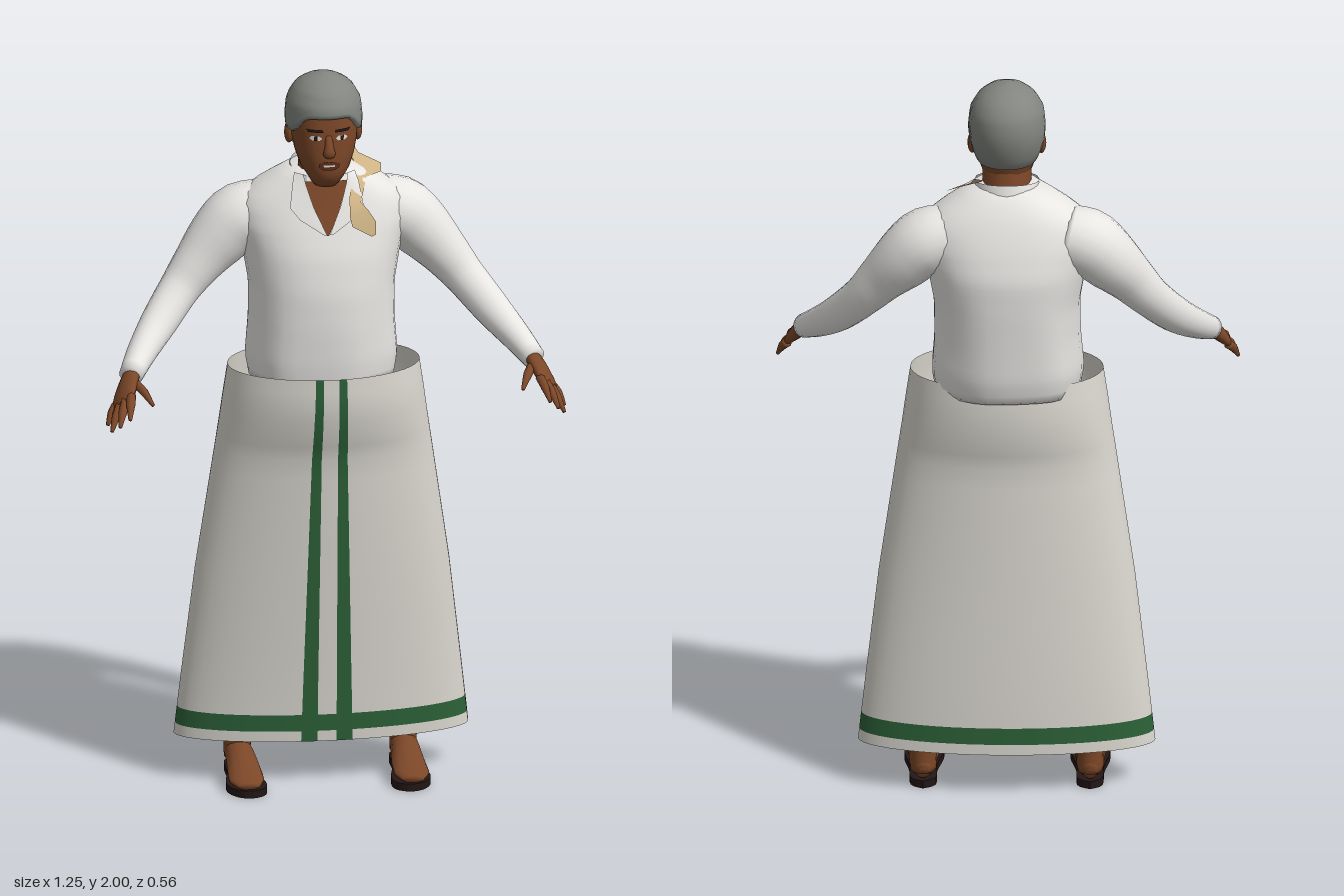
import * as THREE from 'three';

const V = (x, y, z) => new THREE.Vector3(x, y, z);
const mat = (name, color, side = THREE.FrontSide) => {
  const m = new THREE.MeshStandardMaterial({ color, side });
  m.name = name;
  return m;
};

// Interpolates rows of [y, halfWidth, zFront, zBack], listed from low to high
function at(profile, y) {
  let i = 0;
  while (i < profile.length - 2 && y > profile[i + 1][0]) i++;
  const a = profile[i], b = profile[i + 1];
  const t = THREE.MathUtils.clamp((y - a[0]) / (b[0] - a[0]), 0, 1);
  return a.map((v, k) => v + (b[k] - v) * t);
}

// Point on a profile at height y and angle a (0 = front), n = squareness
function point(profile, y, a, n = 2) {
  const [, rx, zf, zb] = at(profile, y);
  const p = (v) => Math.sign(v) * Math.abs(v) ** (2 / n);
  return V(rx * p(Math.sin(a)), y, (zf + zb) / 2 + ((zf - zb) / 2) * p(Math.cos(a)));
}

// Depth of the front surface of a profile at x, y
function frontZ(profile, x, y, n) {
  const [, rx, zf, zb] = at(profile, y);
  const k = Math.max(0, 1 - Math.abs(x / rx) ** n) ** (1 / n);
  return (zf + zb) / 2 + ((zf - zb) / 2) * k;
}

// Surface through a grid of points; closed joins each row into a ring
function surface(rows, closed, capStart, capEnd) {
  const pos = [], idx = [], n = rows[0].length;
  rows.forEach((r) => r.forEach((p) => pos.push(p.x, p.y, p.z)));
  for (let j = 0; j < rows.length - 1; j++)
    for (let i = 0; i < (closed ? n : n - 1); i++) {
      const k = (i + 1) % n, a = j * n + i, b = j * n + k;
      idx.push(a, b, a + n, b, b + n, a + n);
    }
  const cap = (j, flip) => {
    const c = rows[j].reduce((s, p) => s.add(p), V(0, 0, 0)).divideScalar(n);
    const ci = pos.length / 3;
    pos.push(c.x, c.y, c.z);
    for (let i = 0; i < n; i++) {
      const a = j * n + i, b = j * n + ((i + 1) % n);
      idx.push(ci, flip ? b : a, flip ? a : b);
    }
  };
  if (capStart) cap(0, true);
  if (capEnd) cap(rows.length - 1, false);
  const g = new THREE.BufferGeometry();
  g.setAttribute('position', new THREE.Float32BufferAttribute(pos, 3));
  g.setIndex(idx);
  g.computeVertexNormals();
  return g;
}

const angles = (n) => Array.from({ length: n }, (_, i) => (i / n) * Math.PI * 2);
const body = (profile, steps, n, warp = (p) => p) => {
  const y0 = profile[0][0], y1 = profile.at(-1)[0];
  return surface(Array.from({ length: steps + 1 }, (_, j) =>
    angles(32).map((a) => warp(point(profile, y0 + ((y1 - y0) * j) / steps, a, n), a))), true, true, true);
};

// Limb along points [x, y, z, radiusU, radiusV]; V lies along ref
function limb(pts, s, ref = V(0, 0, 1), steps = 16, sides = 14) {
  const curve = new THREE.CatmullRomCurve3(pts.map((p) => V(p[0] * s, p[1], p[2])));
  const axis = V(ref.x * s, ref.y, ref.z), rings = [];
  for (let j = 0; j <= steps; j++) {
    const t = j / steps, f = t * (pts.length - 1), i = Math.min(Math.floor(f), pts.length - 2);
    const r = [3, 4].map((k) => THREE.MathUtils.lerp(pts[i][k], pts[i + 1][k], f - i));
    const c = curve.getPoint(t), T = curve.getTangent(t);
    const u = T.clone().cross(axis).normalize(), v = T.clone().cross(u);
    rings.push(angles(sides).map((a) =>
      c.clone().addScaledVector(u, Math.cos(a) * r[0]).addScaledVector(v, Math.sin(a) * r[1])));
  }
  return surface(rings, true, true, true);
}

// Thin patch lying on a profile's front; rows of [y, x0, x1] from low to high
const drape = (profile, n, rows, off, s = 1) => surface(rows.map(([y, a, b]) => {
  const [x0, x1] = s > 0 ? [a, b] : [-b, -a];
  return [0, 1, 2, 3, 4].map((i) => {
    const x = x0 + ((x1 - x0) * i) / 4;
    return V(x, y, frontZ(profile, x, y, n) + off);
  });
}), false);

const TORSO = [[1.14, .195, .055, -.245], [1.2, .205, .062, -.262], [1.3, .197, .066, -.27], [1.4, .197, .064, -.278],
  [1.5, .215, .048, -.282], [1.58, .235, .022, -.262], [1.64, .225, .0, -.24], [1.69, .16, -.015, -.215], [1.73, .085, -.025, -.18]];
const HEAD = [[1.70, .035, .02, -.1], [1.725, .05, .045, -.12], [1.75, .066, .053, -.135], [1.79, .08, .054, -.15],
  [1.83, .088, .052, -.16], [1.87, .091, .05, -.165], [1.92, .085, .045, -.16], [1.96, .06, .02, -.13]];
const HAIR = [[1.78, .082, .05, -.15], [1.83, .1, .058, -.175], [1.88, .105, .062, -.186], [1.93, .1, .058, -.182],
  [1.965, .08, .036, -.158], [1.985, .055, .008, -.125], [1.996, .028, -.025, -.092], [2, .004, -.054, -.062]];
const SKIRT = [[.12, .4, .012, -.237], [.3, .38, .022, -.235], [.6, .345, .045, -.225], [.94, .295, .07, -.215],
  [1.02, .283, .095, -.232], [1.1, .272, .11, -.238], [1.18, .26, .108, -.232]];

export function createModel() {
  const model = new THREE.Group();
  const shirt = mat('white shirt', 0xecebe8, THREE.DoubleSide);
  const cloth = mat('cream cloth', 0xdad7cf, THREE.DoubleSide);
  const green = mat('green border', 0x2c6138, THREE.DoubleSide);
  const skin = mat('brown skin', 0x7c4728);
  const hair = mat('grey hair', 0x838680, THREE.DoubleSide);
  const tan = mat('tan scarf', 0xcdb284, THREE.DoubleSide);
  const dark = mat('dark sole', 0x231616);
  const white = mat('eye white', 0xe0dcd4);
  const lip = mat('lips', 0x5e2f20);
  const add = (name, geo, m) => {
    const mesh = new THREE.Mesh(geo, m);
    mesh.name = name;
    model.add(mesh);
    return mesh;
  };

  // Wrapped skirt: columns follow the two stripes, rows follow the hem band
  const ys = [.12, .15, .197, .3, .45, .6, .75, .88, .94, .98, 1.02, 1.06, 1.1, 1.14, 1.18];
  const rest = Array.from({ length: 45 }, (_, i) => .28 + ((Math.PI * 2 - .56) * i) / 44);
  const skirt = surface(ys.map((y) => {
    const rx = at(SKIRT, y)[1], t = (1.18 - y) / 1.06;
    const o = Math.asin((.042 + .028 * t) / rx), i = Math.asin((.021 + .005 * t) / rx);
    return [-o, -i, 0, i, o, ...rest].map((a) => point(SKIRT, y, a));
  }), true);
  const all = [...skirt.index.array], plain = [], border = [], cols = 50;
  for (let q = 0; q < all.length / 6; q++) {
    const row = Math.floor(q / cols), col = q % cols;
    (row === 1 || col === 0 || col === 3 ? border : plain).push(...all.slice(q * 6, q * 6 + 6));
  }
  skirt.setIndex([...plain, ...border]);
  skirt.addGroup(0, plain.length, 0);
  skirt.addGroup(plain.length, border.length, 1);
  add('wrappedSkirt', skirt, [cloth, green]);

  // Shirt body with soft folds near the hem
  add('shirtBody', body(TORSO, 24, 2.3, (p, a) => {
    const k = 1 + .018 * Math.sin(a * 7) * THREE.MathUtils.smoothstep(1.5 - p.y, 0, .3);
    return V(p.x * k, p.y, (p.z + .1) * k - .1);
  }), shirt);
  add('openNeck', drape(TORSO, 2.3, [[1.565, -.002, .002], [1.61, -.026, .026], [1.66, -.044, .044], [1.705, -.06, .06]], .007), skin);

  // Standing collar, open at the front
  const collarRow = (r, y0, y1) => Array.from({ length: 21 }, (_, i) => {
    const a = .6 + ((Math.PI * 2 - 1.2) * i) / 20, back = (1 - Math.cos(a)) / 2;
    return V(Math.sin(a) * r, y0 + (y1 - y0) * back, -.095 + Math.cos(a) * r);
  });
  add('collar', surface([collarRow(.1, 1.67, 1.69), collarRow(.086, 1.715, 1.75)], false), shirt);

  // Neck and head
  add('neck', limb([[0, 1.6, -.1, .075, .075], [0, 1.7, -.088, .066, .066], [0, 1.8, -.07, .066, .066]], 1), skin);
  add('head', body(HEAD, 20, 2.3), skin);
  add('nose', limb([[0, 1.855, .046, .009, .006], [0, 1.825, .055, .012, .01], [0, 1.806, .057, .018, .013], [0, 1.797, .05, .012, .008]], 1, V(0, 0, 1), 8, 10), skin);
  add('lips', drape(HEAD, 2.3, [[1.76, -.015, .015], [1.767, -.028, .028], [1.777, -.028, .028], [1.784, -.014, .014]], .004), lip);
  add('teeth', drape(HEAD, 2.3, [[1.77, -.014, .014], [1.775, -.016, .016]], .006), white);

  // Hair cap, its lower edge falling from forehead to nape and tucked in
  const hairRows = [];
  for (let j = 0; j <= 15; j++)
    hairRows.push(angles(32).map((a) => {
      const back = (1 - Math.cos(a)) / 2;
      const edge = 1.905 - .05 * THREE.MathUtils.smoothstep(back, .04, .3) - .07 * THREE.MathUtils.smoothstep(back, .5, .75);
      if (j === 0) return point(HEAD, edge, a, 2.3).multiply(V(.9, 1, .9));
      const t = (j - 1) / 14;
      return point(HAIR, edge + (2 - edge) * Math.sin(t * Math.PI / 2), a, 2.1);
    }));
  add('hair', surface(hairRows, true, false, true), hair);

  // Scarf thrown over the left shoulder: pairs of edge points
  const scarf = [
    [V(.062, 1.77, -.19), V(.085, 1.77, -.18)], [V(.07, 1.745, -.14), V(.105, 1.738, -.145)],
    [V(.085, 1.73, -.1), V(.165, 1.712, -.125)], [V(.09, 1.72, -.08), V(.16, 1.7, -.09)],
    [V(.075, 1.71, -.03), V(.115, 1.7, -.05)], [V(.06, 1.665, .018), V(.092, 1.65, .012)],
    [V(.06, 1.615, .032), V(.11, 1.63, .02)], [V(.065, 1.59, .04), V(.13, 1.6, .028)], [V(.118, 1.56, .04), V(.13, 1.565, .036)]];
  add('scarf', surface(scarf, false), tan);

  for (const [s, side] of [[1, 'left'], [-1, 'right']]) {
    add(side + 'CollarFlap', drape(TORSO, 2.3, [[1.57, .004, .012], [1.61, .022, .075], [1.64, .036, .1], [1.7, .055, .09], [1.725, .06, .082]], .016, s), shirt);

    // Sleeve
    add(side + 'Sleeve', limb([[.15, 1.59, -.135, .085, .09], [.22, 1.57, -.138, .092, .098], [.28, 1.515, -.13, .083, .085],
      [.335, 1.455, -.112, .067, .064], [.385, 1.395, -.09, .056, .052], [.455, 1.315, -.025, .05, .046], [.51, 1.26, .05, .04, .04],
      [.547, 1.222, .118, .032, .034]], s, V(0, 0, 1), 24, 18), shirt);

    // Hand
    const across = V(.62, -.53, -.58);
    add(side + 'Palm', limb([[.54, 1.228, .1, .02, .024], [.557, 1.205, .14, .02, .034], [.573, 1.178, .175, .017, .04],
      [.58, 1.165, .195, .01, .034]], s, across, 10), skin);
    const fingers = [[[.555, 1.19, .19], [.57, 1.152, .28]], [[.57, 1.177, .19], [.595, 1.127, .265]],
      [[.583, 1.163, .18], [.614, 1.106, .238]], [[.593, 1.155, .163], [.62, 1.11, .195]], [[.54, 1.21, .14], [.502, 1.175, .235]]];
    fingers.forEach(([a, b], i) => {
      const mid = a.map((v, k) => (v + b[k]) / 2 + (k === 1 ? .006 : 0));
      add(side + (i === 4 ? 'Thumb' : 'Finger' + (i + 1)),
        limb([[...a, .013, .013], [...mid, .012, .012], [...b, .005, .005]], s, across, 6, 8), skin);
    });

    // Leg and foot
    add(side + 'Leg', limb([[.15, .9, -.09, .085, .085], [.19, .5, -.1, .06, .065], [.222, .2, -.125, .045, .05], [.225, .1, -.13, .038, .042],
      [.225, .04, -.13, .036, .045]], s), skin);
    add(side + 'Foot', limb([[.225, .045, -.17, .018, .022], [.225, .055, -.14, .036, .038], [.224, .055, -.07, .04, .036],
      [.223, .042, .0, .046, .025], [.224, .034, .06, .048, .016], [.222, .03, .1, .03, .01]], s, V(0, 1, 0)), skin);

    // Sandal sole
    const sole = new THREE.Shape(new THREE.SplineCurve([[.225, .18], [.19, .15], [.188, .06], [.17, -.04], [.178, -.09], [.215, -.112],
      [.255, -.095], [.277, -.04], [.262, .06], [.258, .15], [.225, .18]].map(([x, y]) => new THREE.Vector2(x * s, y))).getPoints(40));
    const soleGeo = new THREE.ExtrudeGeometry(sole, { depth: .021, bevelEnabled: false });
    add(side + 'Sandal', soleGeo.rotateX(-Math.PI / 2), dark);

    // Ear, eye and brow
    const ear = add(side + 'Ear', new THREE.SphereGeometry(1, 12, 10), skin);
    ear.scale.set(.013, .03, .02);
    ear.position.set(.093 * s, 1.832, -.068);
    add(side + 'Eye', drape(HEAD, 2.3, [[1.843, .025, .045], [1.849, .019, .052], [1.856, .026, .046]], .003, s), white);
    add(side + 'Iris', drape(HEAD, 2.3, [[1.843, .032, .04], [1.856, .031, .041]], .005, s), dark);
    add(side + 'Brow', drape(HEAD, 2.3, [[1.866, .015, .055], [1.874, .018, .06]], .004, s), dark);
  }
  return model;
}
